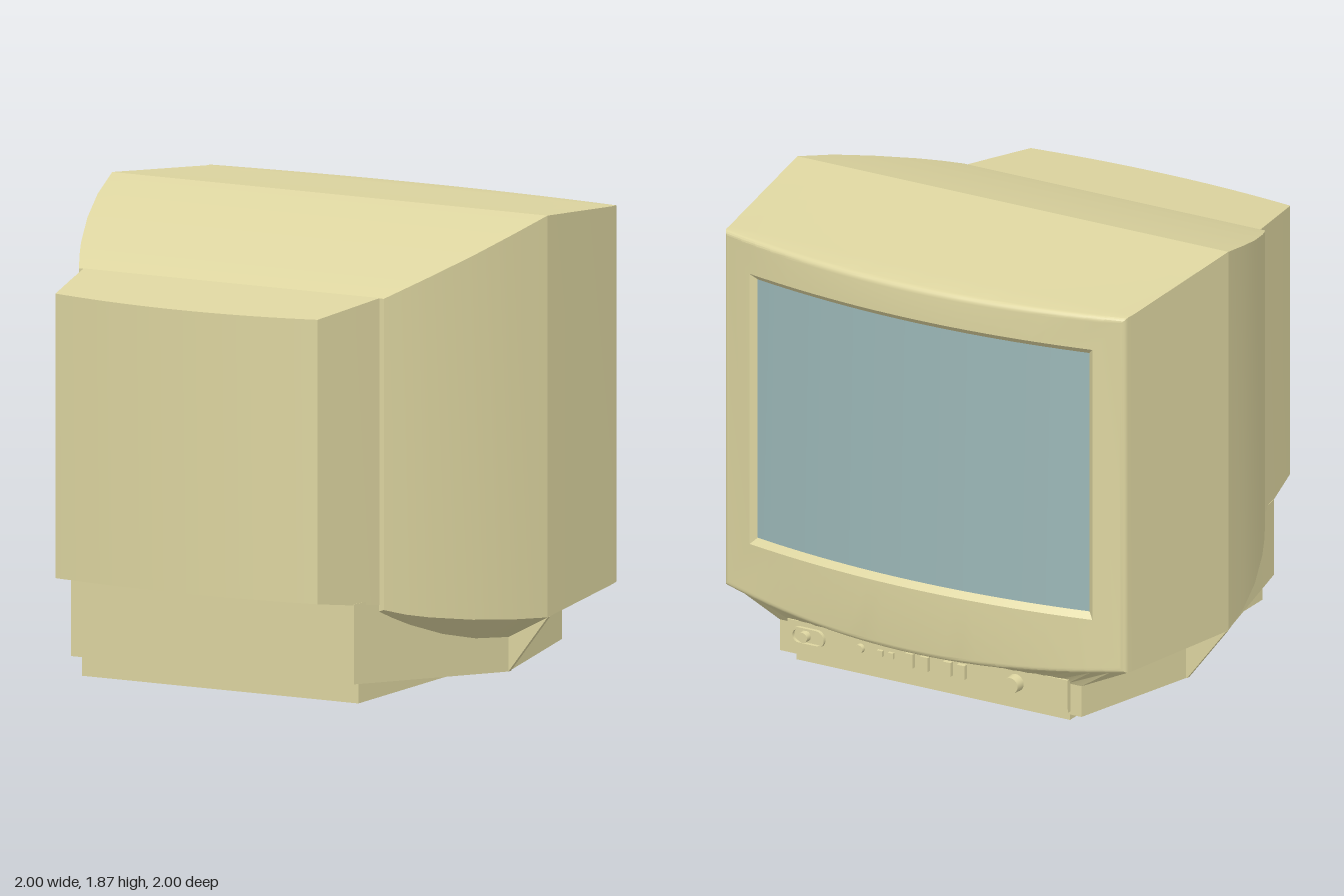
import * as THREE from 'three';
import { toCreasedNormals } from 'three/addons/utils/BufferGeometryUtils.js';

const N = 25; // samples across each row of a ring
const plastic = new THREE.MeshStandardMaterial({ color: 0xddd5a0 });
const glass = new THREE.MeshStandardMaterial({ color: 0x9cb8b8 });

// One ring: a top row from -x to +x, then a bottom row back again.
// w: half width, top/bottom: heights (numbers or functions of z),
// bulge: how far the middle is pushed in z, sag: how far the bottom middle drops,
// inner: [half width, y] of a flat strip inside a sloping underside.
function ring({ z, w, top, bottom, bulge = 0, sag = 0, inner }) {
  const pts = [];
  const zAt = (x) => z + bulge * (1 - (x / w) ** 2);
  const last = 1 - 2 / (N - 1);
  for (let i = 0; i < N; i++) {
    const x = w * (-1 + (2 * i) / (N - 1));
    pts.push([x, typeof top === 'function' ? top(zAt(x)) : top, zAt(x)]);
  }
  for (let i = N - 1; i >= 0; i--) {
    const u = -1 + (2 * i) / (N - 1);
    const edge = i === 0 || i === N - 1;
    if (inner && !edge) pts.push([(u / last) * inner[0], inner[1], z]);
    else pts.push([w * u, bottom - sag * (1 - u * u), zAt(w * u)]);
  }
  return pts;
}

// Skin a row of rings running from +z to -z, with optional end caps.
function loft(rings, startCap = true, endCap = true) {
  const pos = [];
  const quad = (a, b, c, d) => pos.push(...a, ...b, ...c, ...a, ...c, ...d);
  const M = 2 * N;
  for (let i = 0; i < rings.length - 1; i++) {
    for (let j = 0; j < M; j++) {
      const k = (j + 1) % M;
      quad(rings[i][j], rings[i][k], rings[i + 1][k], rings[i + 1][j]);
    }
  }
  const first = rings[0], end = rings[rings.length - 1];
  for (let j = 0; j < N - 1; j++) {
    const b = M - 1 - j;
    if (startCap) quad(first[j], first[b], first[b - 1], first[j + 1]);
    if (endCap) quad(end[j], end[j + 1], end[b - 1], end[b]);
  }
  const g = new THREE.BufferGeometry();
  g.setAttribute('position', new THREE.Float32BufferAttribute(pos, 3));
  return toCreasedNormals(g, 0.33);
}

export function createModel() {
  const model = new THREE.Group();
  const add = (name, geometry, material = plastic, x = 0, y = 0, z = 0) => {
    const mesh = new THREE.Mesh(geometry, material);
    mesh.name = name;
    mesh.position.set(x, y, z);
    model.add(mesh);
    return mesh;
  };

  // Main shell: flares from the neck to the widest point, then narrows to the bezel
  const body = [ // z, half width, top, bottom, inner half width, inner bottom
    [0.59, 0.7, 1.63, 0.37, 0.677, 0.362],
    [0.5, 0.75, 1.663, 0.342, 0.693, 0.322],
    [0.4, 0.8, 1.697, 0.32, 0.711, 0.282],
    [0.2, 0.885, 1.76, 0.287, 0.747, 0.217],
    [0, 0.952, 1.82, 0.263, 0.784, 0.172],
    [-0.2, 1, 1.872, 0.245, 0.82, 0.15],
    [-0.84, 0.935, 1.806, 0.277, 0.7, 0.165],
  ].map(([z, w, top, bottom, ix, iy]) => ring({ z, w, top, bottom, inner: [ix, iy] }));

  // Rounded rim of the bowed bezel
  const R = 0.025;
  for (let k = 0; k <= 5; k++) {
    const a = (k / 5) * Math.PI / 2;
    const inset = R * (1 - Math.cos(a));
    body.push(ring({
      z: -0.865 - R * Math.sin(a), w: 0.932 - inset, bulge: -0.108, sag: 0.07,
      top: (z) => 1.872 - 0.1 * (-0.2 - z) - inset, bottom: 0.28 + inset,
    }));
  }

  // Screen opening and its recessed lip, both following the bow of the bezel
  const onBow = (w, top, bottom, depth) => {
    const fall = 0.108 * (w / 0.907) ** 2;
    return ring({ z: -0.998 + fall + depth, w, top, bottom, bulge: -fall });
  };
  const screenRing = onBow(0.77, 1.63, 0.52, 0.025);
  body.push(onBow(0.795, 1.655, 0.495, 0), screenRing);
  add('mainShell', loft(body, true, false));
  add('screen', loft([screenRing], false, true), glass);

  // Rear housing with a gently bowed back
  add('rearHousing', loft([
    ring({ z: 0.95, w: 0.602, top: (z) => 1.592 - 0.12 * (z - 0.95), bottom: 0.44, bulge: 0.05 }),
    ring({ z: 0.74, w: 0.648, top: 1.615, bottom: 0.407 }),
    ring({ z: 0.55, w: 0.688, top: 1.635, bottom: 0.385 }),
  ]));

  // Tapered pedestal under the shell
  add('pedestal', loft([
    ring({ z: 0.742, w: 0.65, top: 0.412, bottom: 0.088 }),
    ring({ z: 0.59, w: 0.677, top: 0.412, bottom: 0.075 }),
    ring({ z: -0.2, w: 0.82, top: 0.3, bottom: 0.01 }),
    ring({ z: -0.84, w: 0.7, top: 0.165, bottom: 0.033 }),
  ]));
  add('footPlate', new THREE.BoxGeometry(1.27, 0.085, 1.5), plastic, 0, 0.0425, -0.07);

  // Thin triangular webs between the pedestal and the widest point of the shell
  for (const s of [-1, 1]) {
    const web = new THREE.Shape([[1, 0.245], [0.8, 0.2], [0.8, 0.01], [0.82, 0.01]]
      .map(([x, y]) => new THREE.Vector2(s * x, y)));
    add(s > 0 ? 'leftWeb' : 'rightWeb',
      new THREE.ExtrudeGeometry(web, { depth: 0.02, bevelEnabled: false }), plastic, 0, 0, -0.22);
  }

  // Control strip
  add('controlPanel', new THREE.BoxGeometry(1.3, 0.125, 0.05), plastic, 0, 0.125, -0.84);
  add('controlPanelLedge', new THREE.BoxGeometry(1.3, 0.025, 0.03), plastic, 0, 0.06, -0.845);

  // Oval power button set in a raised surround
  const oval = (w, r) => {
    const s = new THREE.Shape();
    s.absarc(w, 0, r, -Math.PI / 2, Math.PI / 2);
    s.absarc(-w, 0, r, Math.PI / 2, Math.PI * 1.5);
    return s;
  };
  const surround = oval(0.04, 0.037);
  surround.holes.push(oval(0.04, 0.028));
  add('powerSurround', new THREE.ExtrudeGeometry(surround, { depth: 0.02, bevelEnabled: false }),
    plastic, 0.55, 0.13, -0.88);
  const disc = (name, x, r, depth) => {
    const g = new THREE.CylinderGeometry(r * 0.9, r, depth, 20).rotateX(-Math.PI / 2);
    add(name, g, plastic, x, 0.13, -0.862 - depth / 2);
  };
  disc('powerButton', 0.565, 0.024, 0.03);
  disc('headphoneSocket', 0.31, 0.02, 0.02);
  disc('volumeKnob', -0.41, 0.037, 0.045);

  // Small indicators and push buttons
  for (const x of [0.215, 0.165])
    add('indicator', new THREE.BoxGeometry(0.025, 0.025, 0.02), plastic, x, 0.13, -0.868);
  for (const x of [0.075, 0.005, -0.1, -0.165])
    add('pushButton', new THREE.BoxGeometry(0.036, 0.06, 0.03), plastic, x, 0.13, -0.87);

  return model;
}
